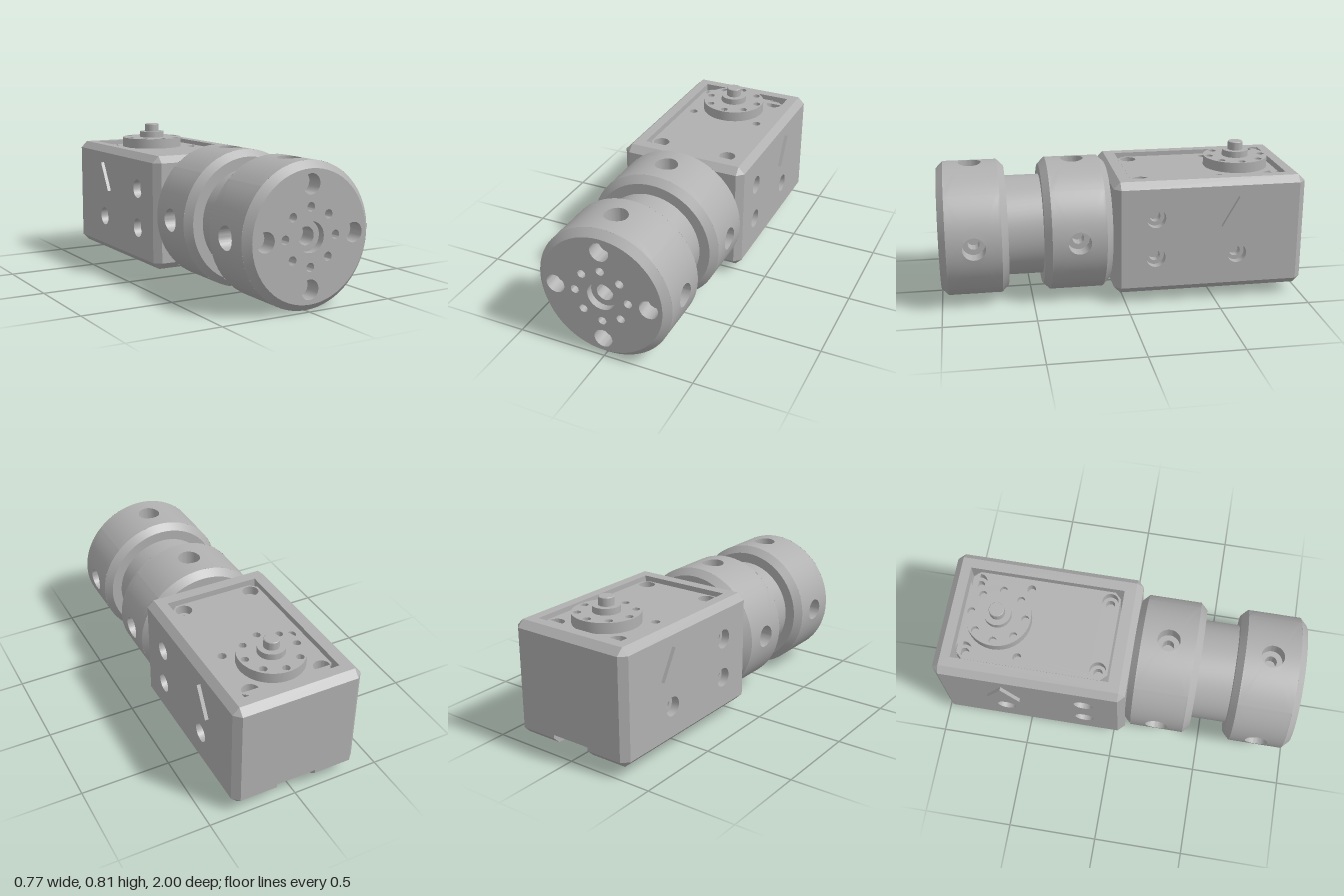
import * as THREE from 'three';
import { mergeGeometries, toCreasedNormals } from 'three/addons/utils/BufferGeometryUtils.js';
import { ParametricGeometry } from 'three/addons/geometries/ParametricGeometry.js';

const grey = new THREE.MeshStandardMaterial({ color: 0xb0b0b0, side: THREE.DoubleSide });
grey.name = 'machined grey';

const crease = (g) => { g.deleteAttribute('uv'); return toCreasedNormals(g, 0.6); };
const mesh = (name, parts) => {
  const m = new THREE.Mesh(mergeGeometries(parts.map(crease)), grey);
  m.name = name;
  return m;
};
const vec = (pts) => pts.map(([x, y]) => new THREE.Vector2(x, y));
const ring = (r, n = 32, cx = 0, cy = 0) => Array.from({ length: n }, (_, i) =>
  [cx + r * Math.cos(i / n * 2 * Math.PI), cy + r * Math.sin(i / n * 2 * Math.PI)]);
const rect = (x0, x1, y0, y1) => [[x0, y0], [x1, y0], [x1, y1], [x0, y1]];
const octagon = (x0, x1, y0, y1, c) => [[x0 + c, y0], [x1 - c, y0], [x1, y0 + c], [x1, y1 - c],
  [x1 - c, y1], [x0 + c, y1], [x0, y1 - c], [x0, y0 + c]];

// Lathe about z
const turned = (pts, n = 64) => new THREE.LatheGeometry(vec(pts), n).rotateX(Math.PI / 2);

// Flat convex polygons from corner loops, turned to face away from a centre
function facets(polys, centre) {
  const out = [];
  for (const p of polys) {
    const v = p.map((a) => new THREE.Vector3(...a));
    const n = v[1].clone().sub(v[0]).cross(v[2].clone().sub(v[0]));
    if (centre && n.dot(v[0].clone().sub(centre)) < 0) v.reverse();
    for (let i = 1; i < v.length - 1; i++) out.push(...v[0], ...v[i], ...v[i + 1]);
  }
  const g = new THREE.BufferGeometry();
  g.setAttribute('position', new THREE.Float32BufferAttribute(out, 3));
  return g;
}

// Wall dropping from an outline to depth d behind it
const wall = (pts, d) => facets(pts.map((p, i) => {
  const q = pts[(i + 1) % pts.length];
  return [[...p, 0], [...p, -d], [...q, -d], [...q, 0]];
}));

// Flat face in xy looking along +z: pits are stepped bores [x, y, r1, d1, r2, d2]
function panel(name, outline, { pits = [], cuts = [], depth = 0 } = {}) {
  const shape = new THREE.Shape(vec(outline));
  const parts = [];
  for (const [x, y, r1, d1, r2, d2] of pits) {
    shape.holes.push(new THREE.Path(vec(ring(r1, 32, x, y))));
    const prof = [[r1, 0], [r1, -d1]];
    if (r2) prof.push([r2, -d1], [r2, -d2]);
    prof.push([0, prof[prof.length - 1][1]]);
    parts.push(turned(prof, 32).translate(x, y, 0));
  }
  for (const c of cuts) {
    shape.holes.push(new THREE.Path(vec(c.pts)));
    parts.push(wall([...c.pts].reverse(), c.depth));
  }
  if (depth) parts.push(wall(outline, depth));
  parts.push(new THREE.ShapeGeometry(shape).toNonIndexed());
  return mesh(name, parts);
}

export function createModel() {
  const model = new THREE.Group();
  model.name = 'servoJoint';
  const add = (m, pos = [0, 0, 0], rx = 0, ry = 0) => {
    m.position.set(...pos);
    m.rotation.set(rx, ry, 0);
    model.add(m);
    return m;
  };
  const up = -Math.PI / 2, down = Math.PI / 2;

  // Housing: chamfered sleeve, h = half sizes, i = half sizes of the flat faces
  const c = 0.037, cy = 0.3755, cz = -0.468;
  const h = [0.363, 0.3175, 0.532], i = h.map((v) => v - c);
  const notch = 0.115, notchTop = 0.115;
  const bevels = [];
  for (const a of [-1, 1]) for (const b of [-1, 1]) {
    for (const k of [0, 1, 2]) {
      const m = (k + 1) % 3, n = (k + 2) % 3;
      const pt = (t, flat) => {
        const p = [0, 0, 0];
        p[k] = t; p[m] = a * (flat ? h : i)[m]; p[n] = b * (flat ? i : h)[n];
        return p;
      };
      const spans = k === 0 && a < 0 && b < 0 ? [[-i[0], -notch], [notch, i[0]]] : [[-i[k], i[k]]];
      for (const [s, e] of spans) bevels.push([pt(s, true), pt(e, true), pt(e, false), pt(s, false)]);
    }
    for (const d of [-1, 1])
      bevels.push([[a * h[0], b * i[1], d * i[2]], [a * i[0], b * h[1], d * i[2]], [a * i[0], b * i[1], d * h[2]]]);
  }
  add(mesh('housingBevels', [facets(bevels, new THREE.Vector3())]), [0, cy, cz]);

  const yLow = cy - i[1], yHigh = cy + i[1], zBack = cz - i[2], zFront = cz + i[2];
  const top = cy + h[1], bottom = cy - h[1], back = cz - h[2];
  for (const s of [-1, 1]) {
    const side = panel('housingSide', s > 0 ? rect(-zFront, -zBack, yLow, yHigh) : rect(zBack, zFront, yLow, yHigh), {
      pits: [[-0.165, 0.49], [-0.165, 0.265], [-0.62, 0.265]].map(([z, y]) => [-s * z, y, 0.053, 0.045, 0.03, 0.088]),
    });
    add(side, [s * h[0], 0, 0], 0, s * Math.PI / 2);
    // Raised triangular marker
    const tri = panel('sideTriangle', [[-0.093, 0.432], [0.093, 0.432], [0, 0.595]], { depth: 0.02 });
    add(tri, [s * (h[0] + 0.02), 0, -0.62], 0, s * Math.PI / 2);
  }
  add(panel('housingFront', rect(-i[0], i[0], yLow, yHigh)), [0, 0, cz + h[2]]);
  add(panel('housingBack', [[-i[0], yLow], [-notch, yLow], [-notch, notchTop], [notch, notchTop],
    [notch, yLow], [i[0], yLow], [i[0], yHigh], [-i[0], yHigh]]), [0, 0, back], 0, Math.PI);

  // Opening runs right through the housing; the cable notch joins it at the bottom rear
  const ox = 0.27, oz0 = -0.908, oz1 = -0.036;
  add(panel('housingTop', rect(-i[0], i[0], -zFront, -zBack), {
    cuts: [{ pts: rect(-ox, ox, -oz1, -oz0), depth: top - notchTop }],
  }), [0, top, 0], up);
  add(panel('housingBottom', [[notch, zBack], [i[0], zBack], [i[0], zFront], [-i[0], zFront], [-i[0], zBack],
    [-notch, zBack], [-notch, oz0], [-ox, oz0], [-ox, oz1], [ox, oz1], [ox, oz0], [notch, oz0]],
  { depth: notchTop - bottom }), [0, bottom, 0], down);
  const cheeks = [-notch, notch].map((x) =>
    [[x, bottom, zBack], [x, yLow, back], [x, notchTop, back], [x, notchTop, zBack]]);
  const ceiling = [[-notch, notchTop, back], [notch, notchTop, back], [notch, notchTop, oz0], [-notch, notchTop, oz0]];
  add(mesh('cableNotch', [facets([...cheeks, ceiling])]));

  // Servo inside the opening
  const sx = 0.262, sz0 = -0.885, sz1 = -0.05, hornZ = -0.692;
  const screws = [];
  for (const x of [-0.205, 0.205]) for (const z of [-0.85, -0.105]) screws.push([x, z]);
  const screwPit = [0.045, 0.05, 0.025, 0.1];
  add(panel('servoTop', octagon(-sx, sx, -sz1, -sz0, 0.035), {
    depth: 0.59,
    pits: [...screws.map(([x, z]) => [x, -z, ...screwPit]),
      ...[-0.205, 0.205].map((x) => [x, 0.552, 0.024, 0.05])],
  }), [0, 0.67, 0], up);
  add(panel('servoBottom', octagon(-sx, sx, sz0, sz1, 0.035), {
    pits: screws.map(([x, z]) => [x, z, ...screwPit]),
    cuts: [{ pts: octagon(-0.23, 0.23, -0.865, -0.37, 0.13), depth: 0.08 }],
  }), [0, 0.08, 0], down);
  add(panel('servoRecessFloor', rect(-0.23, 0.23, -0.865, -0.37)), [0, 0.16, 0], down);

  // Output horns, top and bottom
  const hornPits = ring(0.15, 8).map(([x, y]) => [x, y, 0.021, 0.03]);
  add(panel('topHorn', ring(0.181, 64), { pits: hornPits, depth: 0.06 }), [0, 0.728, hornZ], up);
  add(mesh('hornShaft', [new THREE.LatheGeometry(vec([[0.074, 0.728], [0.074, 0.763], [0.042, 0.763],
    [0.042, 0.807], [0.039, 0.81], [0, 0.81]]), 48)]), [0, 0, hornZ]);
  add(panel('bottomHorn', ring(0.181, 64), {
    pits: [...hornPits, [0, 0, 0.105, 0.025]], depth: 0.14,
  }), [0, 0.022, hornZ], down);

  // Coupling: two flanges joined by a neck
  const axis = 0.375, R = 0.375, halfFlat = 0.148, halfFlange = 0.185, rHole = 0.0625;
  const neckR = 0.28, faceR = 0.338, floorY = R - 0.09;
  const flange = (name, zc, rearR, frontR) => {
    const parts = [
      turned([[rearR, -halfFlange], [faceR, -halfFlange], [R, -halfFlat]]),
      turned([[R, halfFlat], [faceR, halfFlange], ...(frontR < faceR ? [[frontR, halfFlange]] : [])]),
    ];
    // A quarter of the rim stretches from a round hole to its rectangular border
    const rim = (u, v, p) => {
      const a = u * 2 * Math.PI, x = Math.cos(a), z = Math.sin(a), m = 1 / Math.max(Math.abs(x), Math.abs(z));
      const th = THREE.MathUtils.lerp(Math.asin(rHole * x / R), x * m * Math.PI / 4, v);
      p.set(R * Math.sin(th), R * Math.cos(th), THREE.MathUtils.lerp(rHole * z, z * m * halfFlat, v));
    };
    const bore = (u, v, p) => {
      const a = u * 2 * Math.PI, x = rHole * Math.cos(a);
      p.set(x, THREE.MathUtils.lerp(floorY, Math.sqrt(R * R - x * x), v), rHole * Math.sin(a));
    };
    for (let q = 0; q < 4; q++) {
      const quarter = [
        new ParametricGeometry(rim, 64, 8),
        new ParametricGeometry(bore, 64, 1),
        new THREE.LatheGeometry(vec([[rHole, floorY], [0.032, floorY], [0.032, floorY - 0.07], [0, floorY - 0.07]]), 32),
      ];
      for (const g of quarter) parts.push(g.rotateZ(q * Math.PI / 2));
    }
    add(mesh(name, parts), [0, axis, zc]);
  };
  flange('frontFlange', 0.815, neckR, faceR);
  flange('rearFlange', 0.251, 0, neckR);
  add(mesh('neck', [turned([[neckR, 0.43], [neckR, 0.64]])]), [0, axis, 0]);
  add(panel('couplingFace', ring(faceR, 64), {
    pits: [
      [0, 0, 0.079, 0.04, 0.047, 0.13],
      ...ring(0.2625, 4).map(([x, y]) => [x, y, 0.052, 0.09]),
      ...ring(0.15, 8).map(([x, y]) => [x, y, 0.023, 0.06]),
    ],
  }), [0, axis, 1]);
  return model;
}
